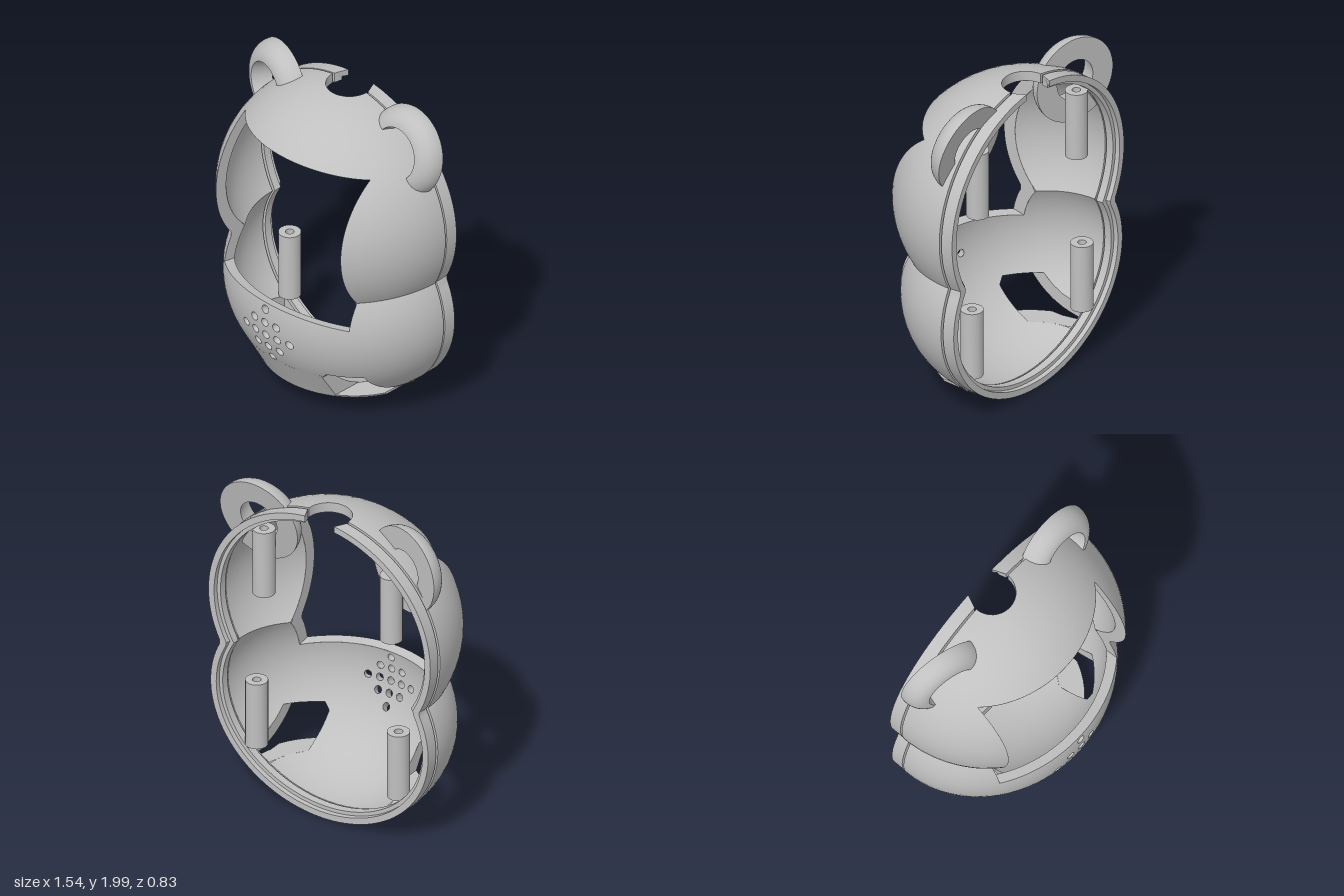
import * as THREE from 'three';
import { toCreasedNormals } from 'three/addons/utils/BufferGeometryUtils.js';

const V = (x, y, z) => new THREE.Vector3(x, y, z);
const Z0 = -0.29, YC = 0.91, T = 0.06;           // shell back plane, neck height, wall thickness
const NOTCH = 0.135;                             // radius of the top notch
const LOBES = [
  { cy: 1.24, r: [0.77, 0.715, 0.74] },          // head
  { cy: 0.65, r: [0.755, 0.645, 0.67] },         // body
];

// Distance from the neck centre to one lobe along direction d
function exit(l, d, t) {
  const [a, b, c] = l.r.map((v) => v - t), o = YC - l.cy;
  const A = (d.x / a) ** 2 + (d.y / b) ** 2 + (d.z / c) ** 2;
  const B = (d.y * o) / (b * b), C = (o / b) ** 2 - 1;
  return (-B + Math.sqrt(B * B - A * C)) / A;
}
const direction = (theta, psi) =>
  V(Math.sin(psi) * Math.cos(theta), Math.sin(psi) * Math.sin(theta), Math.cos(psi));
// Point on the joined lobes, inset by t
function shellPoint(theta, psi, t) {
  const d = direction(theta, psi);
  return d.multiplyScalar(Math.max(...LOBES.map((l) => exit(l, d, t)))).add(V(0, YC, Z0));
}
// Angle at which head and body meet, so that grid lines follow the neck crease
function creaseAngle(psi, t) {
  let lo = -0.4, hi = 0.4;
  for (let i = 0; i < 24; i++) {
    const mid = (lo + hi) / 2, d = direction(mid, psi);
    if (exit(LOBES[0], d, t) > exit(LOBES[1], d, t)) hi = mid; else lo = mid;
  }
  return lo;
}
// Front depth of the joined lobes at x, y
const depth = (x, y, t) => Z0 + Math.max(...LOBES.map((l) => (l.r[2] - t) *
  Math.sqrt(Math.max(0, 1 - (x / (l.r[0] - t)) ** 2 - ((y - l.cy) / (l.r[1] - t)) ** 2))));
// Height of the head at x, z
const headTop = (x, z, t) => {
  const { cy, r } = LOBES[0];
  return cy + (r[1] - t) * Math.sqrt(Math.max(0, 1 - (x / (r[0] - t)) ** 2 - ((z - Z0) / (r[2] - t)) ** 2));
};

// Remove a convex counter-clockwise prism (seen in axes a, b) from a list of polygons
function cut(polys, hole, a, b, applies = () => true) {
  const us = hole.map((h) => h[0]), vs = hole.map((h) => h[1]);
  const box = [Math.min(...us), Math.max(...us), Math.min(...vs), Math.max(...vs)];
  const out = [];
  for (const p of polys) {
    const pu = p.map((q) => q[a]), pv = p.map((q) => q[b]);
    if (!applies(p) || Math.max(...pu) <= box[0] || Math.min(...pu) >= box[1] ||
      Math.max(...pv) <= box[2] || Math.min(...pv) >= box[3]) { out.push(p); continue; }
    let rest = p;
    for (let i = 0; i < hole.length && rest.length > 2; i++) {
      const [u0, v0] = hole[i], [u1, v1] = hole[(i + 1) % hole.length];
      const side = (q) => (u1 - u0) * (q[b] - v0) - (v1 - v0) * (q[a] - u0);
      const inside = [], outside = [];
      rest.forEach((q, k) => {
        const n = rest[(k + 1) % rest.length], s = side(q), e = side(n);
        (s >= 0 ? inside : outside).push(q);
        if ((s >= 0) !== (e >= 0)) {
          const m = q.clone().lerp(n, s / (s - e));
          inside.push(m); outside.push(m);
        }
      });
      if (outside.length > 2) out.push(outside);
      rest = inside;
    }
  }
  return out;
}

// Triangles from a list of polygons
function fan(polys) {
  const pos = [];
  for (const p of polys)
    for (let i = 1; i < p.length - 1; i++)
      for (const q of [p[0], p[i], p[i + 1]]) pos.push(q.x, q.y, q.z);
  const g = new THREE.BufferGeometry();
  g.setAttribute('position', new THREE.Float32BufferAttribute(pos, 3));
  return g;
}
// Skin through equal cross-sections, with optional end caps given as corner lists
function loft(sections, closed = true, caps = []) {
  const quads = [];
  for (let i = 0; i < sections.length - 1; i++) {
    const s = sections[i], e = sections[i + 1], n = s.length;
    for (let k = 0; k < (closed ? n : n - 1); k++) quads.push([s[k], e[k], e[(k + 1) % n], s[(k + 1) % n]]);
  }
  for (const c of caps) {
    quads.push(c.map((k) => sections[0][k]));
    quads.push(c.map((k) => sections[sections.length - 1][k]).reverse());
  }
  return toCreasedNormals(fan(quads), 0.5);
}

// Smooth lobed surface with the openings cut away
function skin(t, cutAll) {
  const NT = 96, NP = 40, rows = [];
  for (let j = 0; j <= NP; j++) {
    const psi = (j / NP) * Math.PI / 2, c = creaseAngle(psi, t);
    rows.push(Array.from({ length: NT + 1 }, (_, i) => {
      const th = (i / NT) * Math.PI * 2;
      return shellPoint(th + c * Math.cos(th), psi, t);
    }));
  }
  const polys = [];
  for (let j = 0; j < NP; j++)
    for (let i = 0; i < NT; i++) {
      polys.push([rows[j][i], rows[j + 1][i], rows[j + 1][i + 1]]);
      if (j) polys.push([rows[j][i], rows[j + 1][i + 1], rows[j][i + 1]]);
    }
  const g = fan(cutAll(polys)), p = g.attributes.position, nor = [];
  for (let i = 0; i < p.count; i += 3) {
    const v = [0, 1, 2].map((k) => V(0, 0, 0).fromBufferAttribute(p, i + k));
    const m = v[0].clone().add(v[1]).add(v[2]).divideScalar(3);
    const grad = (l, q) => V(q.x / (l.r[0] - t) ** 2, (q.y - l.cy) / (l.r[1] - t) ** 2, (q.z - Z0) / (l.r[2] - t) ** 2);
    const level = (l) => grad(l, m).dot(V(m.x, m.y - l.cy, m.z - Z0));
    const lobe = level(LOBES[0]) < level(LOBES[1]) ? LOBES[0] : LOBES[1];
    const n = v.map((q) => grad(lobe, q).normalize().multiplyScalar(t > 0 ? -1 : 1));
    const face = v[1].clone().sub(v[0]).cross(v[2].clone().sub(v[0]));
    if (face.dot(n[0]) < 0) { [v[1], v[2]] = [v[2], v[1]]; [n[1], n[2]] = [n[2], n[1]]; }
    v.forEach((q, k) => { p.setXYZ(i + k, q.x, q.y, q.z); nor.push(n[k].x, n[k].y, n[k].z); });
  }
  g.setAttribute('normal', new THREE.Float32BufferAttribute(nor, 3));
  return g;
}

const circle = (u, v, r, n) => Array.from({ length: n }, (_, i) =>
  [u + r * Math.cos((i / n) * 2 * Math.PI), v + r * Math.sin((i / n) * 2 * Math.PI)]);

export function createModel() {
  const root = new THREE.Group();
  const grey = new THREE.MeshStandardMaterial({ color: 0xc0c0c0, side: THREE.DoubleSide });
  grey.name = 'plain grey';
  const add = (name, geo) => {
    const m = new THREE.Mesh(geo, grey);
    m.name = name;
    root.add(m);
    return m;
  };

  // Openings: screen with gently arched edges, speaker holes, lower windows, top notch
  const arch = (x) => 1 - (x / 0.5) ** 2;
  const low = (x) => 0.73 + 0.037 * arch(x), high = (x) => 1.68 + 0.035 * arch(x);
  const xs = Array.from({ length: 21 }, (_, i) => -0.5 + i * 0.05);
  const strips = xs.slice(1).map((b, i) => {
    const a = xs[i];
    return [[a, low(a)], [b, low(b)], [b, high(b)], [a, high(a)]];
  });
  const screen = [...xs.map((x) => [x, low(x)]), ...xs.slice().reverse().map((x) => [x, high(x)])];
  const dots = [];
  for (let r = -2; r <= 2; r++)
    for (let c = -2; c <= 2; c++)
      if (Math.abs(r) + Math.abs(c) <= 2) dots.push(circle(c * 0.086, 0.55 + r * 0.087, 0.026, 14));
  const win = [[0.31, 0.175], [0.52, 0.175], [0.52, 0.38], [0.345, 0.38], [0.31, 0.34]];
  const windows = [win, win.map(([x, y]) => [-x, y]).reverse()];
  const notch = circle(0, Z0, NOTCH, 32);

  // Where each opening comes out on the inside of the wall
  const same = (q) => q;
  const sloped = ([x, y]) => [x, y - 0.013];
  const radial = ([x, y]) => [x * 0.86, 0.65 + (y - 0.65) * 0.86];
  const cutter = (slope, aim) => (polys) => {
    for (const h of [...strips.map((s) => s.map(slope)), ...dots.map((d) => d.map(aim)), ...windows])
      polys = cut(polys, h, 'x', 'y');
    return cut(polys, notch, 'x', 'z', (p) => p[0].y > 1.5);
  };
  add('outerShell', skin(0, cutter(same, same)));
  add('innerShell', skin(T, cutter(sloped, radial)));

  // Wall thickness around each opening
  const wall = (name, outline, inward) => {
    const pts = [];
    outline.forEach(([x, y], i) => {
      const [u, v] = outline[(i + 1) % outline.length];
      const n = Math.max(1, Math.ceil(Math.hypot(u - x, v - y) / 0.03));
      for (let k = 0; k < n; k++) pts.push([x + (u - x) * k / n, y + (v - y) * k / n]);
    });
    pts.push(pts[0]);
    add(name, loft(pts.map(([x, y]) => {
      const [u, v] = inward([x, y]);
      return [V(x, y, depth(x, y, 0)), V(u, v, depth(u, v, T))];
    }), false));
  };
  wall('screenEdge', screen, sloped);
  dots.forEach((d) => wall('speakerHole', d, radial));
  windows.forEach((w) => wall('windowEdge', w, same));
  add('notchEdge', loft(notch.slice(0, 17).map(([x, z]) =>
    [V(x, headTop(x, z, 0), z), V(x, headTop(x, z, T), z)]), false));

  // Back edge of the shell and the separate stepped ring behind it, both open at the round notch
  const sweep = (section) => Array.from({ length: 161 }, (_, i) => section.map(([t, z]) => {
    const gap = Math.asin(Math.sqrt(NOTCH ** 2 - (z - Z0) ** 2) / (1.045 - t));
    const th = Math.PI / 2 + gap + (i / 160) * (2 * Math.PI - 2 * gap);
    return shellPoint(th, Math.PI / 2, t).setZ(z);
  }));
  add('shellBackEdge', loft(sweep([[0, Z0], [T, Z0]]), false));
  add('backRing', loft(sweep([[0.003, -0.303], [0.003, -0.38], [0.042, -0.38], [0.042, -0.35],
    [0.065, -0.35], [0.065, -0.303]]), true, [[0, 1, 2, 3], [0, 3, 4, 5]]));

  // Straight chin panel and the thin ledge under the windows
  const CHIN = 0.355;
  const ledge = (x) => Z0 + 0.5 * Math.sqrt(1 - (x / 0.53) ** 2);
  const front = (x, y) => THREE.MathUtils.lerp(ledge(x), depth(x, CHIN, 0), (y - 0.16) / (CHIN - 0.16));
  const panel = (name, half, top) => add(name, loft(Array.from({ length: 33 }, (_, i) => {
    const x = -half + (i / 32) * 2 * half;
    return [V(x, top, front(x, top)), V(x, 0.16, front(x, 0.16)),
      V(x, 0.16, depth(x, 0.16, 0.03)), V(x, top, depth(x, top, 0.03))];
  }), true, [[0, 1, 2, 3]]));
  panel('chinPanel', 0.31, CHIN);
  panel('chinLedge', 0.49, 0.175);

  // Ears: domed rings with flat backs and a hole that flares to the front
  const profile = [new THREE.Vector2(0.125, 0)];
  for (let i = 0; i <= 12; i++) {
    const a = (i / 12) * Math.PI / 2;
    profile.push(new THREE.Vector2(0.155 + 0.11 * Math.cos(a), 0.12 * Math.sin(a)));
  }
  profile.push(new THREE.Vector2(0.125, 0));
  const earGeo = toCreasedNormals(new THREE.LatheGeometry(profile, 56), 0.6);
  const ear = (name, pos, n) => {
    const m = add(name, earGeo);
    m.position.copy(pos);
    m.quaternion.setFromUnitVectors(V(0, 1, 0), n.normalize());
  };
  ear('rightEar', V(-0.49, 1.735, -0.25), V(-0.25, 0.02, 0.97));
  ear('leftEar', V(0.49, 1.735, -0.28), V(0, 0.2, 0.98));

  // Upright screw posts
  const tube = [[0.025, 0], [0.065, 0], [0.065, 0.42], [0.025, 0.42], [0.025, 0]].map((p) => new THREE.Vector2(...p));
  const postGeo = toCreasedNormals(new THREE.LatheGeometry(tube, 28), 0.6);
  for (const s of [-1, 1]) {
    add('upperPost', postGeo).position.set(s * 0.44, 1.29, -0.3);
    add('lowerPost', postGeo).position.set(s * 0.49, 0.28, -0.3);
  }
  return root;
}
